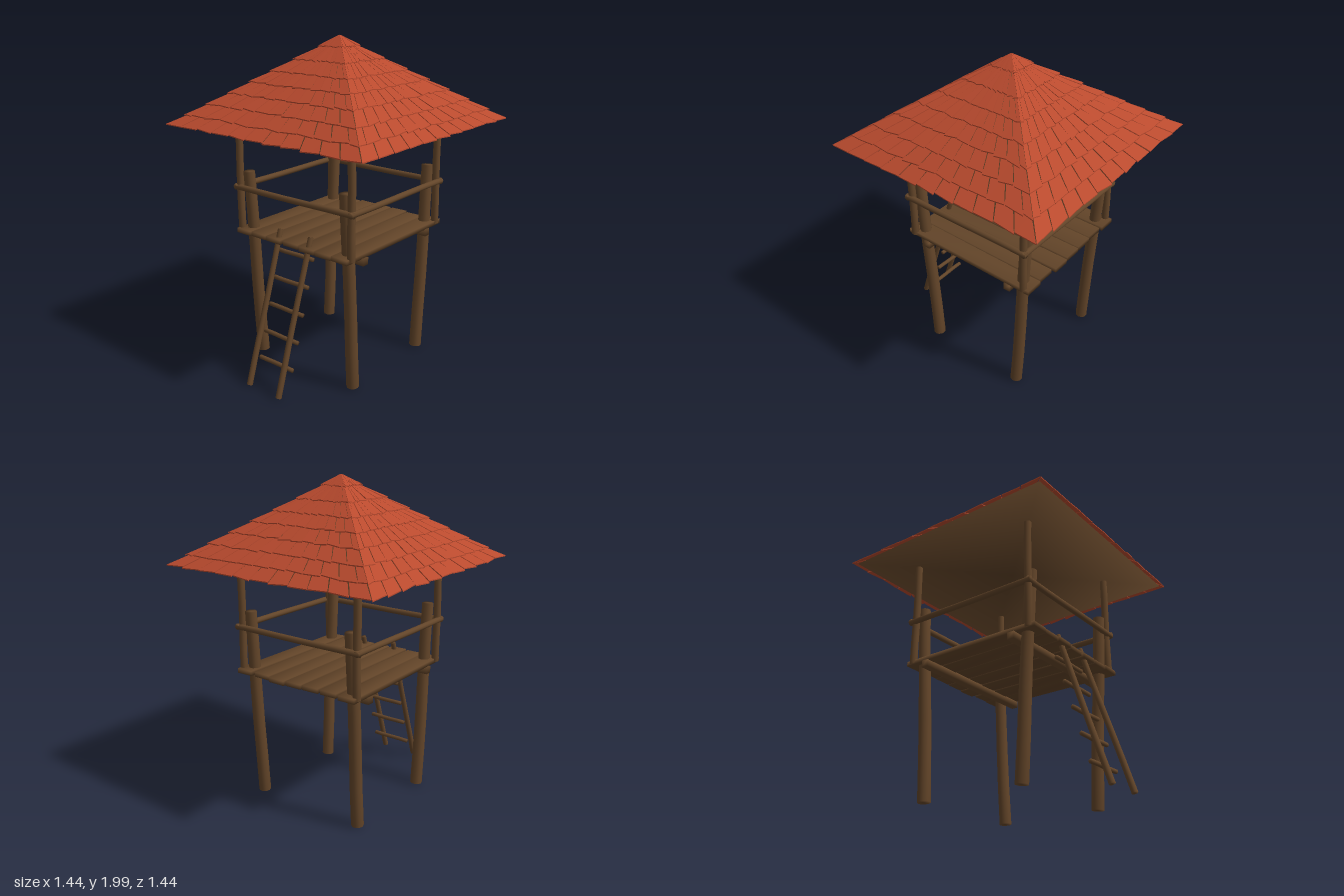
import * as THREE from 'three';
import { mergeVertices } from 'three/addons/utils/BufferGeometryUtils.js';

const wood = new THREE.MeshStandardMaterial({ color: 0x634529 });
wood.name = 'brown wood';
const clay = new THREE.MeshStandardMaterial({ color: 0xb94a2e });
clay.name = 'red shingle';

// seeded jitter in -1..1
let seed = 7;
const jitter = () => {
  seed = (seed * 16807) % 2147483647;
  return (seed / 2147483647) * 2 - 1;
};

// weld corners so the shading runs softly over every edge
function soften(geo) {
  geo.deleteAttribute('normal');
  geo.deleteAttribute('uv');
  const welded = mergeVertices(geo, 1e-5);
  welded.computeVertexNormals();
  return welded;
}

// slightly crooked round log between two points
function log(name, a, b, radius, endRadius = radius, wobble = 0.002) {
  const start = new THREE.Vector3(...a), end = new THREE.Vector3(...b);
  const length = start.distanceTo(end);
  const geo = new THREE.CylinderGeometry(endRadius, radius, length, 10, 5);
  const pos = geo.attributes.position;
  const phase = jitter() * 3;
  for (let i = 0; i < pos.count; i++) {
    const t = pos.getY(i) / length + 0.5;
    const bend = Math.sin(Math.PI * t) * wobble;
    pos.setX(i, pos.getX(i) + bend * Math.cos(phase + t * 4));
    pos.setZ(i, pos.getZ(i) + bend * Math.sin(phase + t * 4));
  }
  const mesh = new THREE.Mesh(soften(geo), wood);
  mesh.name = name;
  mesh.position.copy(start).add(end).multiplyScalar(0.5);
  mesh.quaternion.setFromUnitVectors(new THREE.Vector3(0, 1, 0), end.sub(start).normalize());
  return mesh;
}

// soft-edged squared timber
function timber(name, size, position) {
  const mesh = new THREE.Mesh(soften(new THREE.BoxGeometry(...size)), wood);
  mesh.name = name;
  mesh.position.set(...position);
  return mesh;
}

// one shingle: a thin slab whose sides aim at the roof peak
function shingle(u0, u1, outer, inner, sink) {
  const geo = new THREE.BoxGeometry(1, 1, 1);
  const pos = geo.attributes.position;
  const skew = jitter() * 0.006, lift = jitter() * 0.003;
  const gap = 0.02 * (u1 - u0);
  for (let i = 0; i < pos.count; i++) {
    const isOuter = pos.getZ(i) > 0, isRight = pos.getX(i) > 0;
    const r = isOuter ? outer + skew * (isRight ? 1 : -1) : inner;
    const inset = gap * (isOuter ? 1 : 2.2);
    const u = isRight ? u1 - inset : u0 + inset;
    const y = 2.001 - 0.698 * r + (isOuter ? lift : -sink) + (pos.getY(i) > 0 ? 0 : -0.006);
    pos.setXYZ(i, u * r, y, r);
  }
  geo.computeVertexNormals();
  const mesh = new THREE.Mesh(geo, clay);
  mesh.name = 'shingle';
  return mesh;
}

function createRoof() {
  const roof = new THREE.Group();
  roof.name = 'roof';

  // closed wooden pyramid with a flat ceiling beneath the shingles
  const half = 0.69, height = 0.475;
  const core = new THREE.ConeGeometry(half * Math.SQRT2, height, 4).rotateY(Math.PI / 4);
  const ceiling = new THREE.Mesh(soften(core), wood);
  ceiling.name = 'roofCore';
  ceiling.position.y = 1.498 + height / 2;
  roof.add(ceiling);

  // overlapping courses on four slopes
  const rows = [0.715, 0.637, 0.55, 0.46, 0.372, 0.285, 0.19, 0.085];
  const count = 11;
  for (let side = 0; side < 4; side++) {
    const slope = new THREE.Group();
    slope.name = 'roofSlope';
    slope.rotation.y = side * Math.PI / 2;
    rows.forEach((outer, row) => {
      const isTop = row === rows.length - 1;
      const inner = isTop ? 0.004 : rows[row + 1] - 0.025;
      const shift = row % 2 ? 0.5 : 0;
      for (let i = 0; i < count + shift * 2; i++) {
        const u0 = Math.max(-1, -1 + (2 * (i - shift)) / count);
        const u1 = Math.min(1, -1 + (2 * (i + 1 - shift)) / count);
        slope.add(shingle(u0, u1, outer, inner, isTop ? 0 : 0.012));
      }
    });
    roof.add(slope);
  }
  return roof;
}

function createPlatform() {
  const platform = new THREE.Group();
  platform.name = 'platform';

  // two joists and the floor planks across them
  for (const s of [-1, 1]) {
    platform.add(timber('joist', [0.044, 0.042, 0.88], [s * 0.312, 0.811, 0]));
  }
  const planks = 7, step = 0.125;
  for (let i = 0; i < planks; i++) {
    const plank = timber('plank', [0.915 + jitter() * 0.015, 0.028, step - 0.014],
      [jitter() * 0.006, 0.843 + jitter() * 0.004, (i - (planks - 1) / 2) * step]);
    plank.rotation.set(jitter() * 0.03, jitter() * 0.008, 0);
    platform.add(plank);
  }

  // handrail on all four sides
  for (const s of [-1, 1]) {
    platform.add(log('handrail', [-0.45, 1.113, s * 0.438], [0.45, 1.113, s * 0.438], 0.018));
    platform.add(log('handrail', [s * 0.435, 1.112, -0.452], [s * 0.435, 1.112, 0.452], 0.018));
  }
  return platform;
}

function createLadder() {
  const ladder = new THREE.Group();
  ladder.name = 'ladder';
  for (const s of [-1, 1]) {
    ladder.add(log('ladderPole', [-0.7, 0.01, s * 0.117], [-0.405, 0.905, s * 0.117], 0.018, 0.016));
  }
  for (let i = 0; i < 5; i++) {
    const x = -0.59 + i * 0.0475, y = 0.142 + i * 0.157;
    ladder.add(log('rung', [x, y, -0.13], [x, y, 0.13], 0.013));
  }
  return ladder;
}

export function createModel() {
  const tower = new THREE.Group();
  tower.name = 'watchtower';

  // leaning legs and upright roof posts at each corner
  for (const sx of [-1, 1]) {
    for (const sz of [-1, 1]) {
      tower.add(log('leg', [sx * 0.33, 0.012, sz * 0.367], [sx * 0.402, 1.212, sz * 0.367], 0.038, 0.035, 0.004));
      tower.add(log('roofPost', [sx * 0.42, 0.84, sz * 0.422], [sx * 0.42, 1.51, sz * 0.422], 0.023, 0.022, 0.003));
    }
  }
  tower.add(createPlatform(), createLadder(), createRoof());
  return tower;
}
